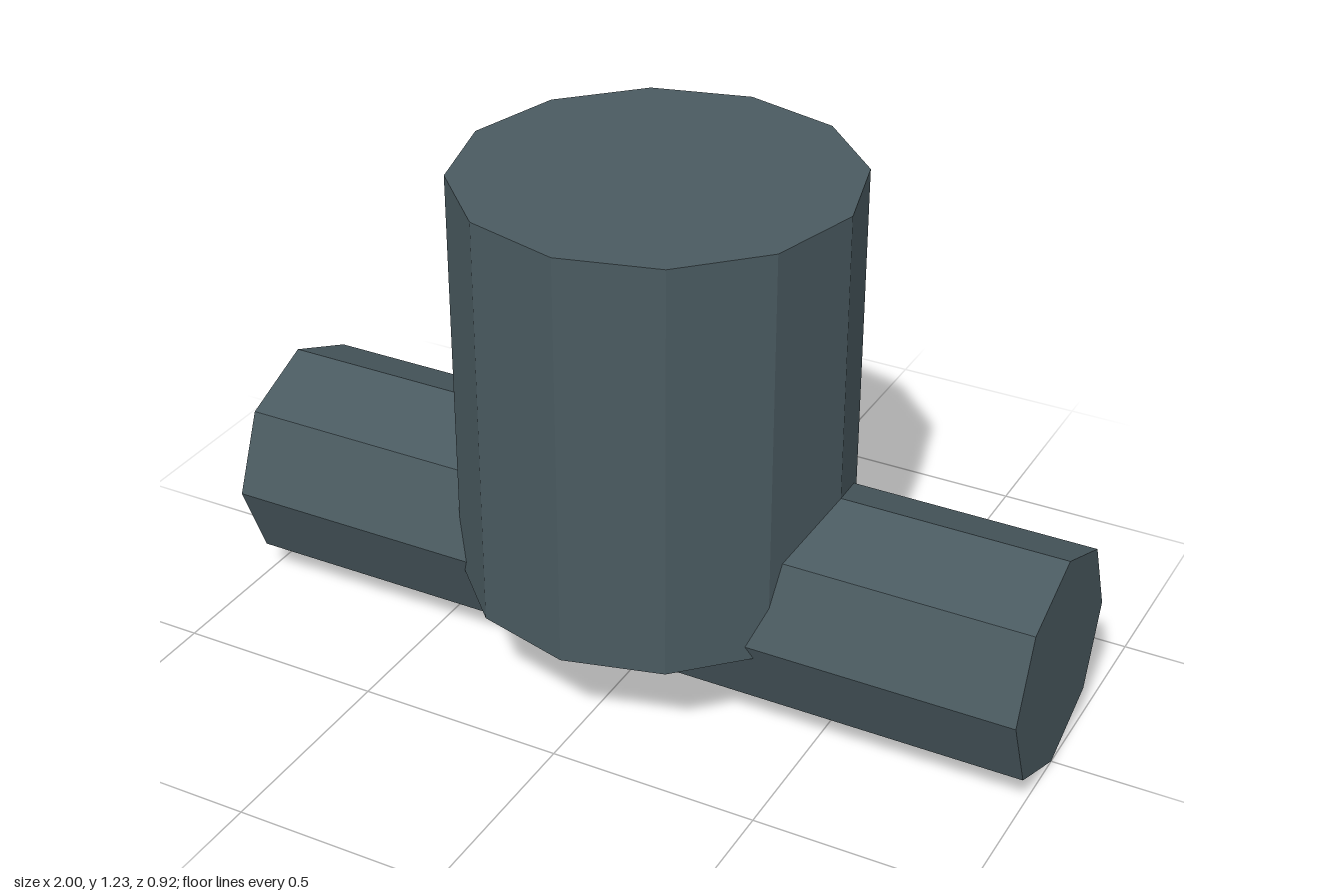
import * as THREE from 'three';

export function createModel() {
  const model = new THREE.Group();
  const steel = new THREE.MeshStandardMaterial({ color: 0x4a5a60, flatShading: true });
  steel.name = 'blue grey steel';

  function addCylinder(name, radius, length, sides, y) {
    const mesh = new THREE.Mesh(new THREE.CylinderGeometry(radius, radius, length, sides), steel);
    mesh.name = name;
    mesh.position.y = y;
    model.add(mesh);
    return mesh;
  }

  // Horizontal eight-sided pipe along x
  const pipe = addCylinder('crossPipe', 0.269, 2, 8, 0.269);
  pipe.rotation.z = Math.PI / 2;

  // Upright twelve-sided body sunk into the pipe
  addCylinder('uprightBody', 0.4615, 1, 12, 0.734);

  return model;
}
